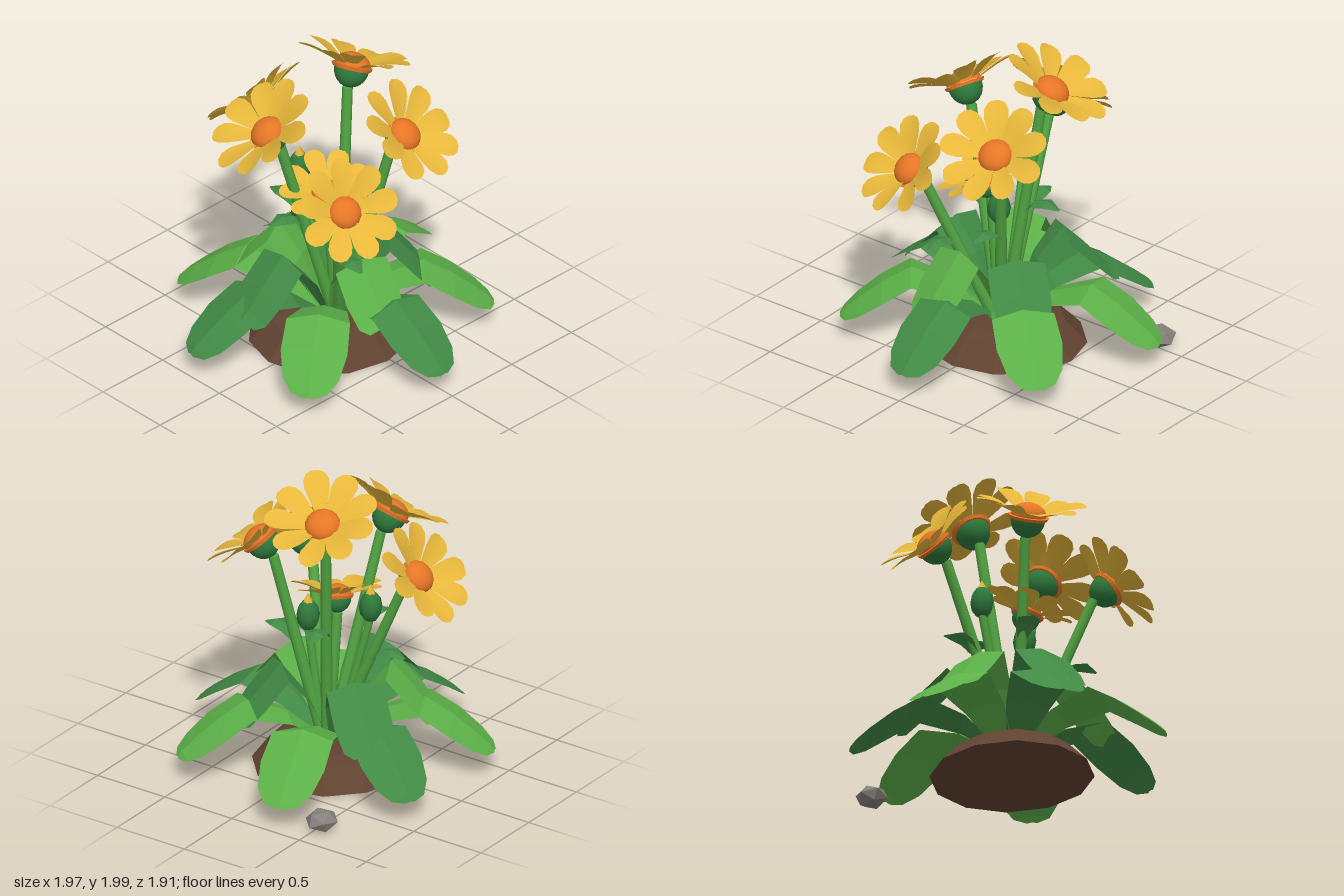
import * as THREE from 'three';

const mat = (name, color, extra = {}) => {
  const m = new THREE.MeshStandardMaterial({ color, ...extra });
  m.name = name;
  return m;
};
const open = { side: THREE.DoubleSide, flatShading: true };

// Thin blade along +x from stations [distance, height, half width]; edges drop by `ridge`
function blade(stations, ridge) {
  const pos = [], index = [];
  const widest = Math.max(...stations.map(s => s[2]));
  stations.forEach(([x, y, w], i) => {
    for (let j = -1; j <= 1; j++) pos.push(x, y - Math.abs(j) * ridge * w / widest, j * w);
    if (i === stations.length - 1) return;
    for (let j = 0; j < 2; j++) {
      const a = i * 3 + j;
      index.push(a, a + 1, a + 3, a + 1, a + 4, a + 3);
    }
  });
  const g = new THREE.BufferGeometry();
  g.setAttribute('position', new THREE.Float32BufferAttribute(pos, 3));
  g.setIndex(index);
  g.computeVertexNormals();
  return g;
}

export function createModel() {
  const root = new THREE.Group();
  root.name = 'floweringPlant';
  const M = {
    light: mat('lightLeafGreen', 0x5cb048, open),
    dark: mat('darkLeafGreen', 0x418a45, open),
    stem: mat('stemGreen', 0x52a542),
    calyx: mat('calyxGreen', 0x2f7a3c),
    petal: mat('petalYellow', 0xe8b83a, { side: THREE.DoubleSide }),
    center: mat('centerOrange', 0xe87726),
    soil: mat('soilBrown', 0x614231, { flatShading: true }),
    rock: mat('rockGrey', 0x85807b, { flatShading: true }),
  };
  const add = (parent, name, geo, material, p = [0, 0, 0]) => {
    const m = new THREE.Mesh(geo, material);
    m.name = name;
    m.position.set(...p);
    parent.add(m);
    return m;
  };
  const V = a => new THREE.Vector3(...a);
  const UP = V([0, 1, 0]);
  const middle = [-0.02, 0, -0.04];

  // Soil mound
  const profile = [[0, 0], [0.53, 0], [0.39, 0.14], [0.3, 0.165], [0, 0.165]];
  const mound = add(root, 'soilMound',
    new THREE.LatheGeometry(profile.map(p => new THREE.Vector2(...p)), 12), M.soil, middle);
  mound.scale.z = 0.93;

  // Rock beside the mound
  const rockGeo = new THREE.IcosahedronGeometry(0.11, 0).rotateX(0.55).rotateY(0.3);
  add(root, 'rock', rockGeo, M.rock, [0.805, 0.066, -0.53]).scale.set(1, 0.63, 0.92);

  // Two tiers of arching basal leaves, each [direction in degrees, reach]
  const outer = blade([[0.06, 0.16, 0.05], [0.3, 0.37, 0.14], [0.56, 0.475, 0.195], [0.74, 0.365, 0.205],
    [0.88, 0.255, 0.172], [0.96, 0.185, 0.11], [0.99, 0.15, 0.03]], 0.05);
  const inner = blade([[0.05, 0.16, 0.05], [0.22, 0.5, 0.13], [0.39, 0.7, 0.18], [0.56, 0.53, 0.185],
    [0.67, 0.41, 0.16], [0.72, 0.37, 0.11]], 0.045);
  const leafRing = (name, geo, leaves, mats) => leaves.forEach(([deg, reach], i) => {
    const leaf = add(root, name, geo, mats[i % 2], middle);
    leaf.rotation.y = -THREE.MathUtils.degToRad(deg);
    leaf.scale.x = reach;
  });
  leafRing('outerLeaf', outer,
    [[39, 1], [90, 1], [142, 1], [193.5, 1], [245, 1], [297, 1], [344, 1.04]], [M.light, M.dark]);
  leafRing('innerLeaf', inner, [[38, 0.87], [102, 0.87], [184, 0.98], [246, 0.9], [306, 0.98]], [M.dark, M.light]);

  // Straight tapered stem between two points
  const stem = (from, to, r) => {
    const d = to.clone().sub(from);
    const s = add(root, 'stem', new THREE.CylinderGeometry(r * 0.85, r, d.length(), 8), M.stem);
    s.position.copy(from).addScaledVector(d, 0.5);
    s.quaternion.setFromUnitVectors(UP, d.normalize());
  };

  // Flower head parts, built facing +y with petals meeting at the origin
  const petalGeo = blade([[0.08, 0, 0.03], [0.15, 0.025, 0.054], [0.22, 0.05, 0.075],
    [0.275, 0.064, 0.076], [0.318, 0.07, 0.054], [0.338, 0.072, 0.02]], -0.012);
  const domeGeo = new THREE.SphereGeometry(0.108, 16, 6, 0, Math.PI * 2, 0, Math.PI / 2);
  const rimGeo = new THREE.CylinderGeometry(0.125, 0.115, 0.02, 16);
  const calyxGeo = new THREE.SphereGeometry(0.105, 14, 6, 0, Math.PI * 2, Math.PI / 2, Math.PI / 2);
  const flowerHead = (p, n, size, spin) => {
    const g = new THREE.Group();
    g.name = 'flowerHead';
    add(g, 'flowerCenter', domeGeo, M.center, [0, 0.005, 0]).scale.y = 0.72;
    add(g, 'centerRim', rimGeo, M.center, [0, -0.008, 0]);
    add(g, 'calyx', calyxGeo, M.calyx, [0, -0.018, 0]).scale.y = 1.08;
    for (let i = 0; i < 9; i++) {
      const petal = add(g, 'petal', petalGeo, M.petal, [0, 0.006 + (i % 2) * 0.006, 0]);
      petal.rotation.order = 'YXZ';
      petal.rotation.set(0.1, spin + i * Math.PI * 2 / 9, (i % 3 - 1) * 0.05);
    }
    g.position.copy(p);
    g.quaternion.setFromUnitVectors(UP, n);
    g.scale.setScalar(size);
    root.add(g);
  };

  // Flowers: head position, facing, size, stem leaf [height, direction in degrees]
  const stemLeaf = blade([[0, 0, 0.02], [0.08, 0.09, 0.06], [0.16, 0.11, 0.066], [0.25, 0.07, 0.01]], 0.02);
  const flowers = [
    [[0.225, 1.485, 0.34], [0.18, 0.75, 0.62], 1, [0.79, 95]],
    [[0.265, 1.735, -0.155], [0.45, 0.86, -0.16], 1.03, [0.89, -10]],
    [[-0.425, 1.55, -0.175], [-0.55, 0.8, -0.18], 1.02, [0.82, 195]],
    [[-0.365, 1.235, 0.435], [-0.25, 0.64, 0.68], 0.96, [0.66, 100]],
    [[-0.06, 1.39, -0.63], [-0.05, 0.65, -0.76], 0.98, [0.74, 265]],
    [[-0.115, 1.06, 0.01], [-0.25, 0.93, 0.2], 0.84, null],
  ];
  flowers.forEach(([p, n, size, leaf], i) => {
    const head = V(p), face = V(n).normalize();
    const base = V([p[0] * 0.06, 0.14, p[2] * 0.06]);
    const top = head.clone().addScaledVector(face, -0.13 * size);
    stem(base, top, 0.038);
    flowerHead(head, face, size, i * 0.37);
    if (leaf) {
      const at = base.clone().lerp(top, (leaf[0] - base.y) / (top.y - base.y));
      const l = add(root, 'stemLeaf', stemLeaf, M.dark, at.toArray());
      l.rotation.y = -THREE.MathUtils.degToRad(leaf[1]);
    }
  });

  // Closed buds with a yellow tip
  for (const p of [[0.06, 0.97, 0.1], [-0.06, 1.09, -0.28]]) {
    const [x, y, z] = p;
    stem(V([x * 0.2, 0.14, z * 0.2]), V([x, y - 0.08, z]), 0.028);
    add(root, 'bud', new THREE.SphereGeometry(0.073, 8, 6), M.calyx, p).scale.y = 1.4;
    add(root, 'budTip', new THREE.ConeGeometry(0.042, 0.08, 6), M.petal, [x, y + 0.11, z]);
  }
  return root;
}
